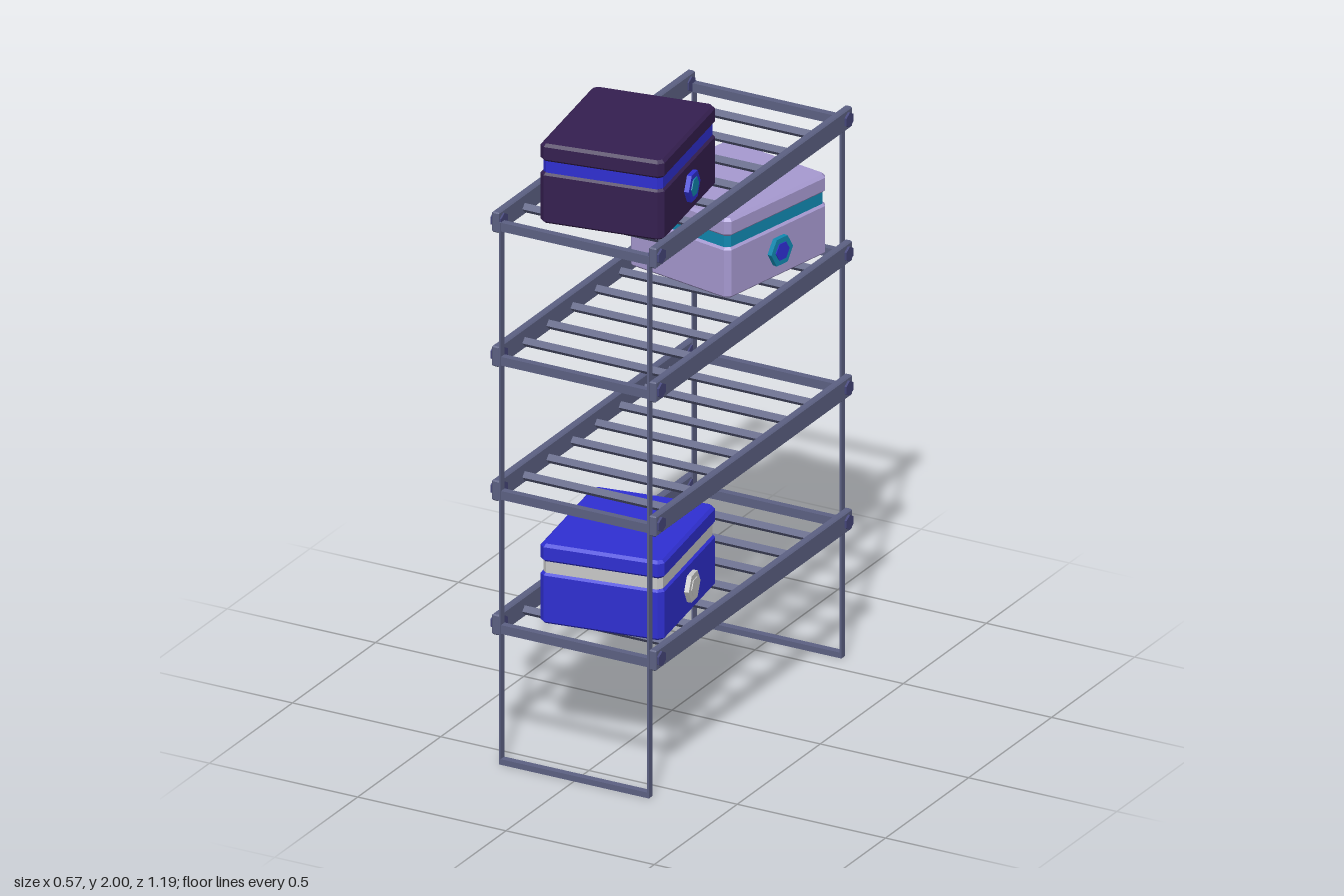
import * as THREE from 'three';
import { toCreasedNormals } from 'three/addons/utils/BufferGeometryUtils.js';

const mat = (name, color) => Object.assign(new THREE.MeshStandardMaterial({ color }), { name });

const steel = mat('slate steel', 0x5c6183);
const boltBlue = mat('bolt blue', 0x45467a);
const plum = mat('dark plum', 0x351f50);
const lilac = mat('lilac', 0xa699d0);
const blue = mat('royal blue', 0x2f2fd2);
const teal = mat('teal', 0x1188b0);
const silver = mat('silver', 0xc8c8c8);

function add(parent, name, geometry, material, x = 0, y = 0, z = 0) {
  const mesh = new THREE.Mesh(toCreasedNormals(geometry, 0.3), material);
  mesh.name = name;
  mesh.position.set(x, y, z);
  parent.add(mesh);
  return mesh;
}

// Prism lying along x; corners point along z, or up when upright
function prismX(radius, length, sides, upright = false) {
  const g = new THREE.CylinderGeometry(radius, radius, length, sides);
  g.rotateZ(-Math.PI / 2);
  if (upright) g.rotateX(Math.PI / 2);
  return g;
}

// Block with chamfered edges, standing on y = 0
function chamferBlock(w, h, d, corner, bevel) {
  const x = w / 2, y = d / 2, c = corner;
  const shape = new THREE.Shape([
    [x - c, -y], [x, -y + c], [x, y - c], [x - c, y],
    [-x + c, y], [-x, y - c], [-x, -y + c], [-x + c, -y],
  ].map(([a, b]) => new THREE.Vector2(a, b)));
  const g = new THREE.ExtrudeGeometry(shape, {
    depth: h - 2 * bevel, bevelEnabled: true, bevelSegments: 1,
    bevelSize: bevel, bevelThickness: bevel, bevelOffset: -bevel,
  });
  g.translate(0, 0, bevel);
  g.rotateX(-Math.PI / 2);
  return g;
}

// Storage box: body, recessed band, lid and a hexagonal clasp on the left side
function storageBox(name, main, accent, claspCentre) {
  const w = 0.39, d = 0.455;
  const box = new THREE.Group();
  box.name = name;
  add(box, 'boxBody', chamferBlock(w, 0.162, d, 0.016, 0.007), main);
  add(box, 'boxBand', chamferBlock(w - 0.014, 0.05, d - 0.014, 0.014, 0.003), accent, 0, 0.153, 0);
  add(box, 'boxLid', chamferBlock(w, 0.058, d, 0.016, 0.009), main, 0, 0.197, 0);
  add(box, 'claspRing', prismX(0.049, 0.03, 6), accent, w / 2, 0.086, 0);
  add(box, 'claspCentre', prismX(0.03, 0.008, 6), claspCentre, w / 2 + 0.014, 0.086, 0);
  return box;
}

// One shelf: side rails, bolts and rungs
function shelf() {
  const g = new THREE.Group();
  g.name = 'shelf';
  for (const s of [-1, 1]) {
    add(g, 'sideRail', chamferBlock(0.024, 0.066, 1.184, 0.003, 0.004), steel, s * 0.265, -0.033, 0);
    for (const e of [-1, 1]) {
      add(g, 'railBolt', prismX(0.024, 0.036, 6, true), boltBlue, s * 0.266, 0, e * 0.565);
      add(g, 'endRung', new THREE.BoxGeometry(0.506, 0.028, 0.022).scale(0.5, 1, 1),
        steel, s * 0.1265, -0.012, e * 0.578);
    }
  }
  for (let i = -3; i <= 3; i++) {
    add(g, 'rung', prismX(0.015, 0.508, 4), steel, 0, -0.01, i * 0.145);
  }
  return g;
}

export function createModel() {
  const model = new THREE.Group();
  model.name = 'shelvingRack';

  for (const y of [0.447, 0.879, 1.311, 1.743]) {
    const s = shelf();
    s.position.y = y;
    model.add(s);
  }

  // Thin upright frames at both ends
  for (const e of [-1, 1]) {
    for (const s of [-1, 1]) {
      add(model, 'leg', new THREE.BoxGeometry(0.006, 1.745, 0.022), steel, s * 0.25, 0.8725, e * 0.58);
    }
    add(model, 'footBar', new THREE.BoxGeometry(0.5, 0.018, 0.022), steel, 0, 0.009, e * 0.58);
  }

  // Boxes, each turned a little on its shelf
  const boxes = [
    ['topBox', plum, blue, teal, 0.008, 1.745, 0.28, 0.15],
    ['middleBox', lilac, teal, blue, 0, 1.323, -0.338, -0.2],
    ['bottomBox', blue, silver, silver, 0.008, 0.456, 0.28, 0.15],
  ];
  for (const [name, main, accent, centre, x, y, z, turn] of boxes) {
    const b = storageBox(name, main, accent, centre);
    b.position.set(x, y, z);
    b.rotation.y = turn;
    model.add(b);
  }
  return model;
}
